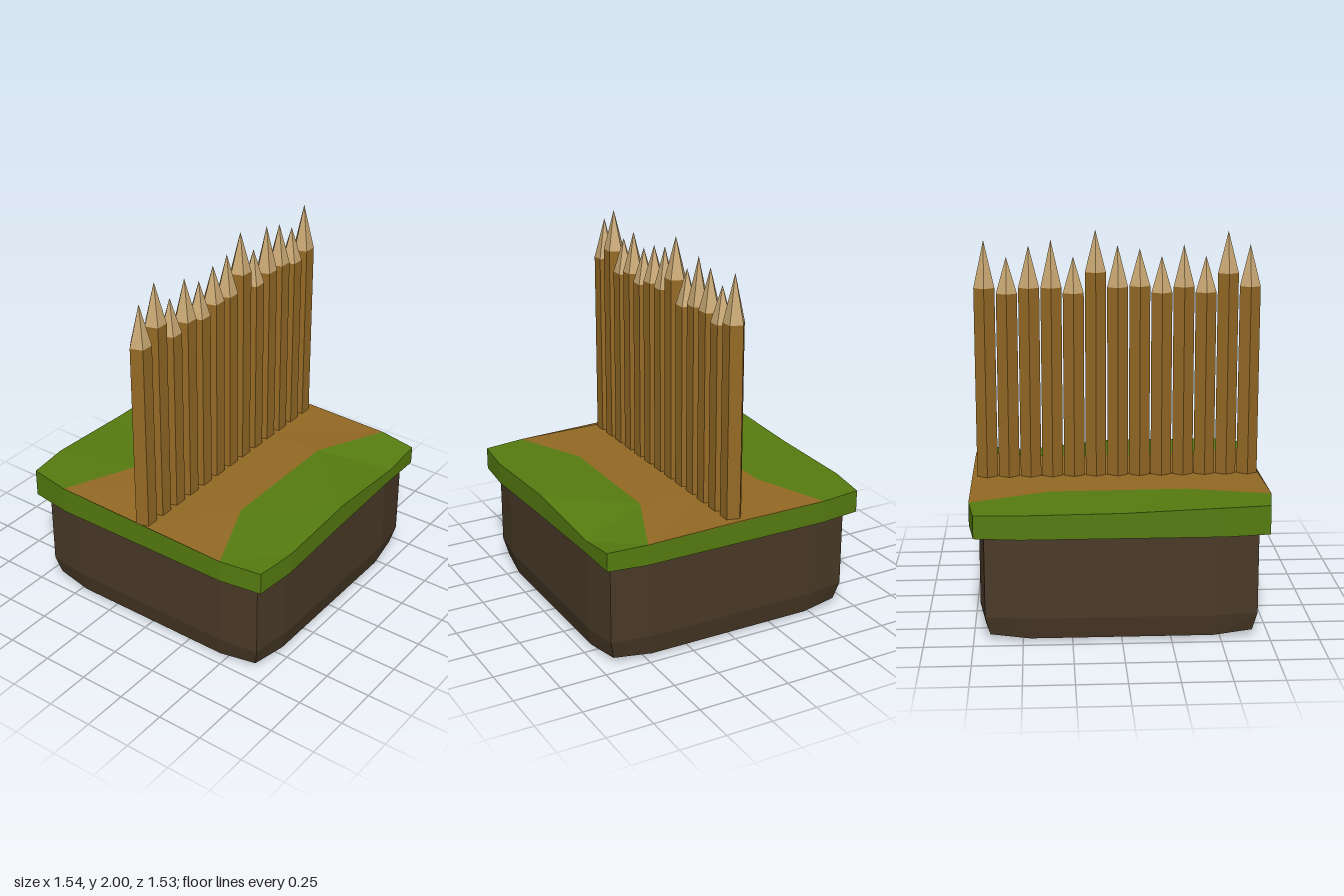
import * as THREE from 'three';

const paint = (name, color) => {
  const m = new THREE.MeshStandardMaterial({ color, flatShading: true });
  m.name = name;
  return m;
};

// Mesh from a list of triangles, each three [x, y, z] corners
function facets(name, tris, material) {
  const geo = new THREE.BufferGeometry();
  geo.setAttribute('position', new THREE.Float32BufferAttribute(tris.flat(2), 3));
  geo.computeVertexNormals();
  const mesh = new THREE.Mesh(geo, material);
  mesh.name = name;
  return mesh;
}

// Walls between stacked rings (bottom to top, counter-clockwise from above)
function loft(rings) {
  const tris = [];
  for (let r = 0; r + 1 < rings.length; r++) {
    const a = rings[r], b = rings[r + 1];
    a.forEach((p, i) => {
      const j = (i + 1) % a.length;
      tris.push([p, a[j], b[j]], [p, b[j], b[i]]);
    });
  }
  return tris;
}

// Downward-facing cap
const underside = (ring, y) =>
  ring.map((p, i) => [[0, y, 0], ring[(i + 1) % ring.length], p]);

// Grass verge between the path edge (4 points) and the outer edge (5 points)
const verge = (a, b) => [
  [a[0], b[0], b[1]], [a[0], b[1], a[1]], [a[1], b[1], b[2]], [a[1], b[2], a[2]],
  [a[2], b[2], b[3]], [a[2], b[3], a[3]], [a[3], b[3], b[4]],
];

export function createModel() {
  const grass = paint('grass', 0x567c10);
  const dirt = paint('path dirt', 0x946a24);
  const wood = paint('wood', 0x966a25);
  const cutWood = paint('cut wood', 0xc9a873);
  const soil = paint('soil', 0x4a3a28);
  const model = new THREE.Group();
  model.name = 'palisade on grass block';

  // Soil block with bevelled foot
  const soilRing = (s, y, yMid = y) => [
    [-0.69, 0.69], [-0.48, 0.72], [0, 0.72], [0.48, 0.72], [0.69, 0.69], [0.72, 0.48],
    [0.72, -0.48], [0.69, -0.69], [0.48, -0.72], [0, -0.72], [-0.48, -0.72], [-0.69, -0.69],
    [-0.72, -0.48], [-0.72, 0.48],
  ].map(([x, z]) => [x * s, Math.abs(x) > 0.6 && Math.abs(z) > 0.6 ? y : yMid, z * s]);
  const foot = soilRing(0.965, 0.03, 0.015);
  model.add(facets('soilBlock', [
    ...loft([foot, soilRing(1, 0.13), soilRing(1, 0.58)]),
    ...underside(foot, 0),
  ], soil));

  // Uneven edges of the turf
  const frontInner = [[-0.775, 0.68, 0.52], [-0.36, 0.69, 0.35], [0.36, 0.69, 0.35], [0.77, 0.67, 0.52]];
  const frontOuter = [[-0.74, 0.68, 0.745], [-0.51, 0.675, 0.765], [0, 0.68, 0.745], [0.51, 0.63, 0.73], [0.74, 0.66, 0.73]];
  const backInner = [[0.77, 0.68, -0.51], [0.36, 0.685, -0.35], [-0.36, 0.69, -0.35], [-0.775, 0.705, -0.51]];
  const backOuter = [[0.74, 0.68, -0.74], [0.51, 0.685, -0.77], [0, 0.69, -0.77], [-0.51, 0.71, -0.77], [-0.74, 0.71, -0.74]];

  const rim = [frontInner[0], ...frontOuter, frontInner[3], backInner[0], ...backOuter, backInner[3]];
  const rimLow = rim.map(([x, , z]) => [x, 0.56, z]);
  model.add(facets('grassTurf', [
    ...verge(frontInner, frontOuter),
    ...verge(backInner, backOuter),
    ...loft([rimLow, rim]),
    ...underside(rimLow, 0.56),
  ], grass));

  // Dirt path, dipping slightly along its middle
  const middle = [-0.775, -0.36, 0.36, 0.77].map((x) => [x, 0.68, 0]);
  const backLine = [...backInner].reverse();
  const path = [];
  for (const [far, near] of [[backLine, middle], [middle, frontInner]]) {
    for (let i = 0; i < 3; i++) {
      path.push([far[i], near[i], near[i + 1]], [far[i], near[i + 1], far[i + 1]]);
    }
  }
  // Close the narrow walls where the dip leaves the straight rim
  path.push([frontInner[0], middle[0], backInner[3]], [middle[3], frontInner[3], backInner[0]]);
  model.add(facets('dirtPath', path, dirt));

  // Row of sharpened five-sided stakes: [shoulder height, tip height]
  const stakes = [
    [1.70, 1.92], [1.77, 1.99], [1.67, 1.86], [1.70, 1.92], [1.67, 1.86], [1.705, 1.90], [1.70, 1.92],
    [1.78, 2.0], [1.67, 1.86], [1.70, 1.95], [1.70, 1.92], [1.67, 1.86], [1.70, 1.95],
  ];
  const base = 0.62, radius = 0.058;
  stakes.forEach(([shoulder, tip], i) => {
    const stake = new THREE.Group();
    stake.name = 'stake';
    stake.position.x = -0.714 + i * 0.1168;
    stake.rotation.y = Math.PI;
    const pole = new THREE.Mesh(
      new THREE.CylinderGeometry(radius, radius, shoulder - base, 5, 1, true), wood);
    pole.name = 'pole';
    pole.position.y = (base + shoulder) / 2;
    const point = new THREE.Mesh(
      new THREE.ConeGeometry(radius, tip - shoulder, 5, 1, true), cutWood);
    point.name = 'sharpenedTip';
    point.position.y = (shoulder + tip) / 2;
    stake.add(pole, point);
    model.add(stake);
  });

  return model;
}
